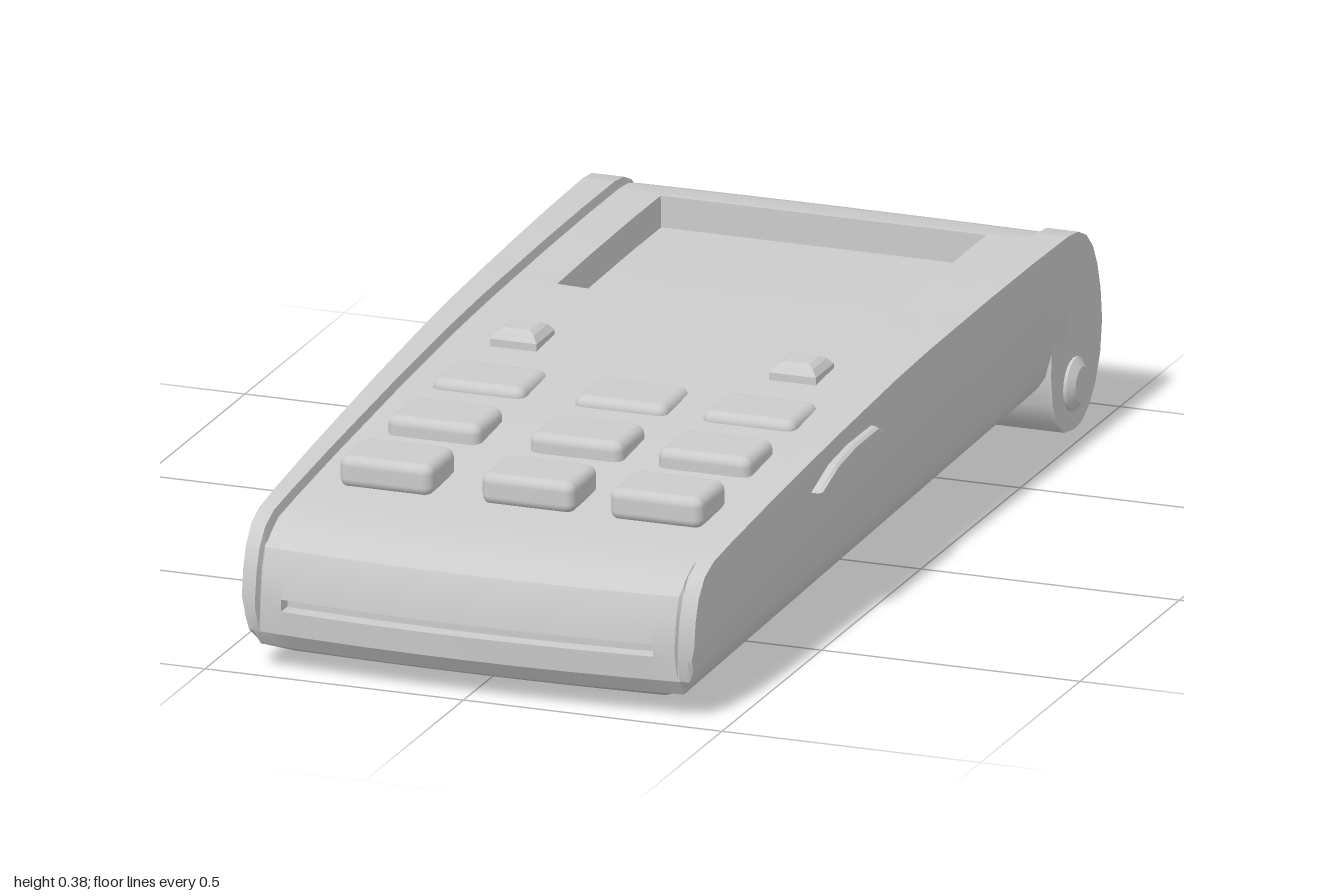
import * as THREE from 'three';
import { toCreasedNormals } from 'three/addons/utils/BufferGeometryUtils.js';
import { RoundedBoxGeometry } from 'three/addons/geometries/RoundedBoxGeometry.js';

const grey = new THREE.MeshStandardMaterial({ color: 0xcccccc });
const faceted = new THREE.MeshStandardMaterial({ color: 0xcccccc, flatShading: true });
const clamp = THREE.MathUtils.clamp;

// Stations across the width; close pairs form pocket walls and the deck groove.
const half = [0.1, 0.2, 0.314, 0.315, 0.359, 0.36, 0.4, 0.4045, 0.409, 0.425, 0.445, 0.46, 0.47];
const stations = [...half.map(x => -x).reverse(), 0, ...half];

// Side profiles as [z, y, pocket].
const bodyProfile = [
  [-0.82, 0.375], [-0.81, 0.375], [-0.809, 0.375, 'screen'], [-0.65, 0.375, 'screen'],
  [-0.45, 0.372, 'screen'], [-0.291, 0.368, 'screen'], [-0.29, 0.368], [-0.15, 0.364],
  [0, 0.357], [0.3, 0.336], [0.6, 0.31], [0.8, 0.29], [0.9, 0.279], [0.95, 0.262],
  [0.983, 0.23], [1.0, 0.19], [1.007, 0.1425], [1.007, 0.142, 'slot'], [1.007, 0.12, 'slot'],
  [1.007, 0.1195], [0.997, 0.075], [0.975, 0.045], [0.93, 0.027], [0.88, 0.021],
  [-0.735, 0.055], [-0.735, 0.14], [-0.82, 0.14],
];
const hoodProfile = [
  [-0.82, 0.375], [-0.87, 0.37], [-0.915, 0.352], [-0.95, 0.322], [-0.975, 0.28],
  [-0.992, 0.23], [-1, 0.17], [-0.99, 0.11], [-0.965, 0.06], [-0.93, 0.025],
  [-0.89, 0.005], [-0.85, 0], [-0.8, 0.008], [-0.765, 0.035], [-0.745, 0.075],
  [-0.738, 0.13], [-0.74, 0.2], [-0.82, 0.2],
].reverse();

// Shapes one profile point at one station: rounded keel, sunken deck, pockets, bowed ends.
function place(x0, [z0, y0, pocket], roundKeel) {
  const a = Math.abs(x0);
  let x = a, y = y0, z = z0;
  if (roundKeel) {
    const t = clamp((a - 0.31) / 0.16, 0, 1);
    const keel = 0.021 + 0.034 * (0.88 - z0) / 1.615;
    y = Math.max(y, keel + 0.12 * (1 - Math.sqrt(1 - t * t)));
  }
  const drop = a < 0.403 ? 0.012 : a < 0.408 ? 0.024 : 0;
  if (y0 > 0.24) y -= drop * clamp((z0 + 0.96) / 0.1, 0, 1);
  if (z0 > 0.94 && y0 > 0.1 && y0 < 0.27) z -= drop * 0.6;
  if (a < 0.3155 && y0 > 0.3 && Math.abs(z0 + 0.29) < 0.002) z += 0.018 * (1 - (a / 0.315) ** 2);
  if (pocket === 'screen' && a < 0.3145) y -= 0.06;
  if (pocket === 'slot' && a < 0.3595) z -= 0.03;
  const bow = (a / 0.47) ** 2;
  z -= 0.03 * bow * clamp((z0 - 0.8) / 0.2, 0, 1);
  z += 0.018 * bow * clamp((-z0 - 0.85) / 0.15, 0, 1);
  if (a > 0.41) x = 0.41 + (a - 0.41) * (0.062 - 0.0175 * (z0 + 0.97)) / 0.06;
  return new THREE.Vector3(Math.sign(x0) * x, y, z);
}

// Sweeps a profile across the stations and closes both flanks.
function shell(profile, roundKeel) {
  const rows = stations.map(x => profile.map(p => place(x, p, roundKeel)));
  const pos = [];
  const tri = (a, b, c) => {
    const area = b.clone().sub(a).cross(c.clone().sub(a)).length();
    if (area > 1e-9) for (const p of [a, b, c]) pos.push(p.x, p.y, p.z);
  };
  const n = profile.length;
  for (let s = 0; s < rows.length - 1; s++) {
    for (let i = 0; i < n; i++) {
      const j = (i + 1) % n;
      tri(rows[s][i], rows[s][j], rows[s + 1][j]);
      tri(rows[s][i], rows[s + 1][j], rows[s + 1][i]);
    }
  }
  for (const side of [-1, 1]) {
    const row = side < 0 ? rows[0] : rows[rows.length - 1];
    const outline = row.map(p => new THREE.Vector2(p.z, p.y));
    for (const [i, j, k] of THREE.ShapeUtils.triangulateShape(outline, [])) {
      const [a, b, c] = [row[i], row[j], row[k]];
      const nx = (b.y - a.y) * (c.z - a.z) - (b.z - a.z) * (c.y - a.y);
      if (nx * side > 0) tri(a, b, c); else tri(a, c, b);
    }
  }
  const geo = new THREE.BufferGeometry();
  geo.setAttribute('position', new THREE.Float32BufferAttribute(pos, 3));
  return toCreasedNormals(geo, 0.5);
}

export function createModel() {
  const model = new THREE.Group();
  const add = (name, geo, x = 0, y = 0, z = 0, material = grey) => {
    const mesh = new THREE.Mesh(geo, material);
    mesh.name = name;
    mesh.position.set(x, y, z);
    model.add(mesh);
    return mesh;
  };

  // Casing with screen recess and front slot, and the rounded rear housing
  add('body', shell(bodyProfile, true));
  add('rearHousing', shell(hoodProfile, false));

  // Keypad
  const key = new RoundedBoxGeometry(0.18, 0.06, 0.132, 3, 0.018);
  [[0.205, 0.345], [0.428, 0.343], [0.67, 0.341]].forEach(([z, top]) => {
    for (const x of [-0.255, 0.02, 0.268]) add('key', key, x, top - 0.03, z);
  });

  // Small domed function buttons
  const dome = new THREE.LatheGeometry(
    [[0.064, -0.01], [0.064, 0.012], [0.05, 0.024], [0.035, 0.03], [0, 0.03]]
      .map(p => new THREE.Vector2(...p)), 4);
  dome.rotateY(Math.PI / 4);
  for (const x of [-0.27, 0.27]) add('functionButton', dome, x, 0.344, 0.003, faceted);

  // Leaf-shaped side grips
  const leaf = new THREE.Shape(
    [[-0.41, 0.268], [-0.08, 0.277], [-0.13, 0.303], [-0.24, 0.302], [-0.33, 0.292]]
      .map(p => new THREE.Vector2(...p)));
  const grip = new THREE.ExtrudeGeometry(leaf, {
    depth: 0.02, bevelEnabled: true, bevelThickness: 0.006, bevelSize: 0.004, bevelSegments: 1,
  });
  grip.translate(0, 0, -0.01).rotateY(Math.PI / 2);
  for (const x of [-0.452, 0.452]) add('sideGrip', grip, x);

  // Hinge pin with chamfered ends
  const pin = new THREE.LatheGeometry(
    [[0, -0.487], [0.034, -0.487], [0.05, -0.475], [0.05, 0.475], [0.034, 0.487], [0, 0.487]]
      .map(p => new THREE.Vector2(...p)), 20);
  pin.rotateZ(Math.PI / 2);
  add('hingePin', toCreasedNormals(pin, 0.5), 0, 0.088, -0.845);

  return model;
}
